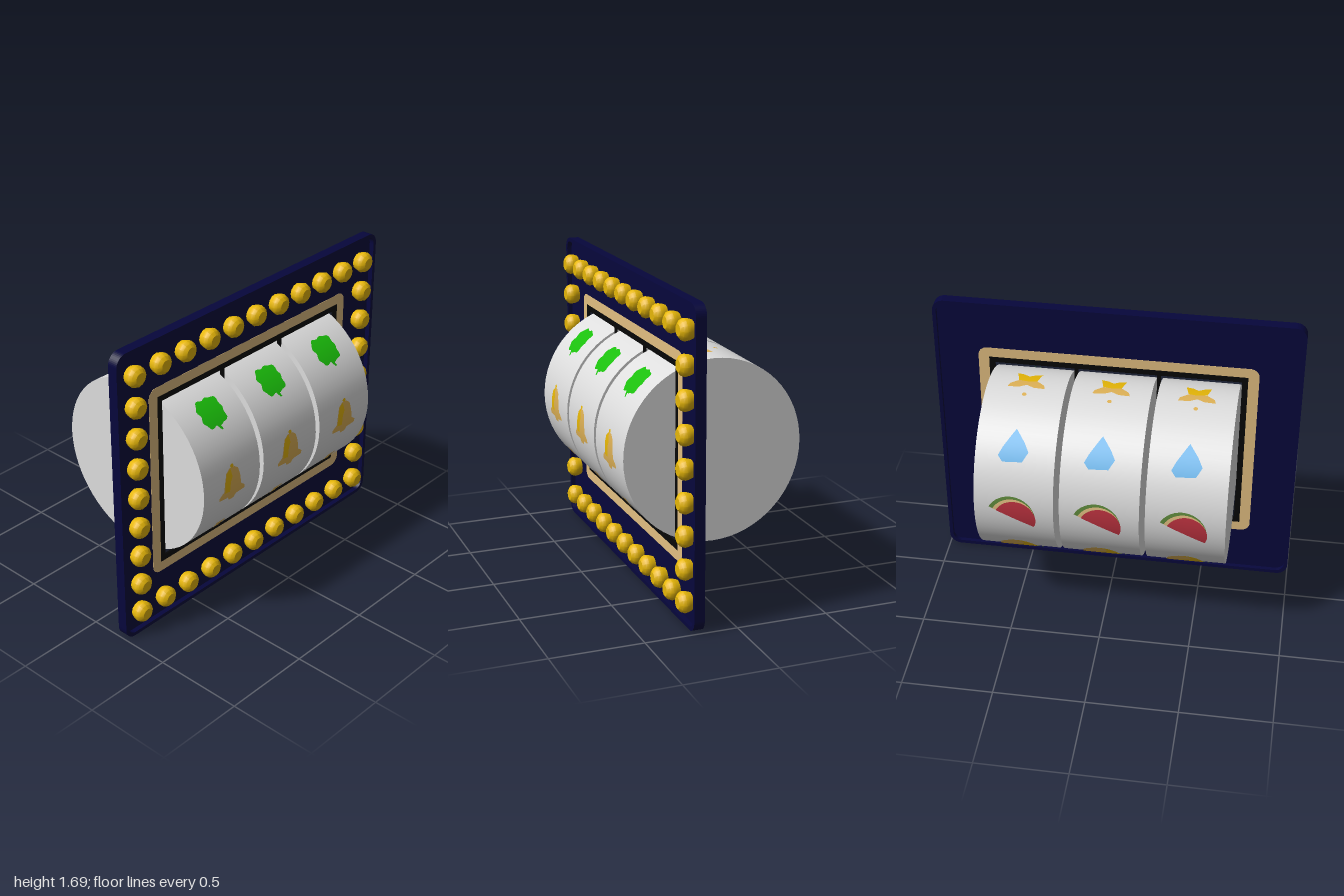
import * as THREE from 'three';
import { toCreasedNormals } from 'three/addons/utils/BufferGeometryUtils.js';

const mat = (name, color) => {
  const m = new THREE.MeshStandardMaterial({ color });
  m.name = name;
  return m;
};

const REEL_R = 0.488, REEL_W = 0.424, CY = 0.842;

// Rounded rectangle outline centred on (x, y)
function roundRect(Type, x, y, w, h, r) {
  const s = new Type(), a = w / 2 - r, b = h / 2 - r;
  s.absarc(x + a, y + b, r, 0, Math.PI / 2);
  s.absarc(x - a, y + b, r, Math.PI / 2, Math.PI);
  s.absarc(x - a, y - b, r, Math.PI, Math.PI * 1.5);
  s.absarc(x + a, y - b, r, Math.PI * 1.5, Math.PI * 2);
  s.closePath();
  return s;
}

function plate(name, material, outline, holes, z0, z1) {
  outline.holes.push(...holes);
  const geo = new THREE.ExtrudeGeometry(outline, { depth: z1 - z0, bevelEnabled: false, curveSegments: 6 });
  geo.translate(0, 0, z0);
  const mesh = new THREE.Mesh(geo, material);
  mesh.name = name;
  return mesh;
}

// Closed outline from a polar rule, arc by default a full turn
function polar(cu, cv, rule, from = 0, to = Math.PI * 2, n = 32) {
  const pts = [], full = to - from > 6.28;
  for (let i = 0; i < (full ? n : n + 1); i++) {
    const a = from + (to - from) * i / n, r = rule(a);
    pts.push([cu + r * Math.cos(a), cv + r * Math.sin(a)]);
  }
  return pts;
}

const ellipse = (u, v, ru, rv, tilt = 0) => polar(0, 0, () => 1, 0, Math.PI * 2, 20).map(([x, y]) => [
  u + x * ru * Math.cos(tilt) - y * rv * Math.sin(tilt),
  v + x * ru * Math.sin(tilt) + y * rv * Math.cos(tilt)]);

const mirrored = half => [...half, ...half.slice().reverse().map(([u, v]) => [-u, v])];

// Flat outline (u across, v around) wrapped onto the reel at a given angle
function wrap(outline, angle, lift) {
  const pts = outline.map(([u, v]) => new THREE.Vector2(u, v));
  if (THREE.ShapeUtils.isClockWise(pts)) pts.reverse();
  const pos = [], nor = [], R = REEL_R + lift;
  const put = p => {
    const t = angle + p.y / REEL_R, s = Math.sin(t), c = Math.cos(t);
    pos.push(p.x, R * s, R * c);
    nor.push(0, s, c);
  };
  // Split triangles until they are short enough to follow the curve
  const split = (a, b, c) => {
    const d = [Math.abs(a.y - b.y), Math.abs(b.y - c.y), Math.abs(c.y - a.y)];
    const m = Math.max(...d);
    if (m < 0.03) return [a, b, c].forEach(put);
    if (m === d[1]) [a, b, c] = [b, c, a];
    else if (m === d[2]) [a, b, c] = [c, a, b];
    const h = a.clone().add(b).multiplyScalar(0.5);
    split(a, h, c);
    split(h, b, c);
  };
  for (const [i, j, k] of THREE.ShapeUtils.triangulateShape(pts, [])) split(pts[i], pts[j], pts[k]);
  const geo = new THREE.BufferGeometry();
  geo.setAttribute('position', new THREE.Float32BufferAttribute(pos, 3));
  geo.setAttribute('normal', new THREE.Float32BufferAttribute(nor, 3));
  return geo;
}

export function createModel() {
  const navy = mat('navy panel', 0x06063c), tan = mat('tan trim', 0xe3c082);
  const black = mat('black frame', 0x060606), gold = mat('gold', 0xe8b808);
  const white = mat('reel grey', 0xdedede), green = mat('clover green', 0x1abf0a);
  const blue = mat('gem blue', 0x62b2e8), red = mat('fruit red', 0xbf3340);
  const olive = mat('leaf green', 0x5f8a3c), amber = mat('amber', 0xdfb256);
  const model = new THREE.Group();

  // Thin front panel inside a raised rim, tan trim and black window frame
  const rect = (T, w, h, r, x = 0) => roundRect(T, x, CY, w, h, r);
  model.add(
    plate('panelRim', navy, roundRect(THREE.Shape, 0, 0.845, 2, 1.69, 0.065),
      [roundRect(THREE.Path, 0, 0.845, 1.96, 1.65, 0.05)], 0.179, 0.236),
    plate('panel', navy, roundRect(THREE.Shape, 0, 0.845, 1.962, 1.652, 0.05),
      [rect(THREE.Path, 1.53, 1.115, 0.05)], 0.202, 0.209),
    plate('windowTrim', tan, rect(THREE.Shape, 1.53, 1.115, 0.05),
      [rect(THREE.Path, 1.412, 1.0, 0.002)], 0.201, 0.21),
    plate('windowFrame', black, rect(THREE.Shape, 1.412, 1.0, 0.002),
      [-0.455, 0, 0.455].map((x, i) => rect(THREE.Path, i === 1 ? 0.43 : 0.438, 0.936, 0.002, x)), 0.2, 0.211));

  // Bulbs around the border
  const bulbGeo = toCreasedNormals(new THREE.LatheGeometry(
    [[0.046, 0], [0.055, 0.026], [0.058, 0.045], [0.05, 0.063], [0.032, 0.077], [0, 0.077]]
      .map(p => new THREE.Vector2(...p)), 12).rotateX(Math.PI / 2), 0.6);
  const bulbs = new THREE.Group();
  bulbs.name = 'bulbs';
  for (let i = 0; i < 11; i++) for (let j = 0; j < 9; j++) {
    if (i % 10 && j % 8) continue;
    const bulb = new THREE.Mesh(bulbGeo, gold);
    bulb.name = 'bulb';
    bulb.position.set(-0.883 + i * 0.1766, 0.133 + j * 0.1766, 0.205);
    bulbs.add(bulb);
  }
  model.add(bulbs);

  // Symbols: name, step of 45 degrees, then coloured layers from bottom to top
  const cut = -0.46;
  const slice = (r, s) => polar(0.005 + s * Math.cos(cut), 0.042 + s * Math.sin(cut), () => r,
    Math.PI + cut, Math.PI * 2 + cut, 20);
  const symbols = [
    ['bell', 0,
      [amber, mirrored([[0.018, 0.09], [0.045, 0.07], [0.058, 0.02], [0.064, -0.03], [0.095, -0.055], [0.095, -0.075],
        [0.03, -0.08], [0.018, -0.1]])],
      [gold, [[-0.058, -0.04], [-0.054, 0.03], [-0.042, 0.07], [-0.012, 0.088], [-0.002, 0.04], [-0.016, 0.01], [-0.02, -0.045]]],
      [gold, ellipse(0, 0.1, 0.012, 0.01)]],
    ['clover', 1,
      [green, polar(0.005, 0.014, a => 0.085 - 0.008 * Math.cos(4 * a) + 0.005 * Math.cos(9 * a), 0, Math.PI * 2, 48)],
      [green, [[-0.012, -0.05], [0.012, -0.05], [0.024, -0.09], [0.012, -0.09]]]],
    ['star', 2,
      [amber, mirrored([[0, 0.02], [0.04, 0.04], [0.1, 0.043], [0.092, 0.015], [0.05, -0.018]])],
      [gold, mirrored([[0, -0.01], [0.05, -0.018], [0.068, -0.09], [0.03, -0.08], [0, -0.06]])],
      [amber, ellipse(0, 0.097, 0.012, 0.012)]],
    ['gem', 3,
      [blue, [[-0.07, 0.045], [-0.04, 0.098], [0.065, 0.103], [0.09, 0.07], [0.068, 0.025], [0.005, -0.076], [-0.045, -0.005]]]],
    ['melonSlice', 4, [olive, slice(0.13, 0.012)], [tan, slice(0.12, 0)], [red, slice(0.112, -0.012)]],
    ['lemon', 5,
      [olive, ellipse(-0.088, 0.05, 0.066, 0.048, 0.7)],
      [gold, ellipse(0.005, -0.01, 0.1, 0.108)],
      [amber, ellipse(0.035, -0.07, 0.068, 0.044, 0.4)]],
    ['cherries', 6,
      [red, ellipse(0.055, -0.045, 0.066, 0.066)],
      [red, ellipse(-0.04, -0.085, 0.066, 0.066)],
      [olive, ellipse(-0.03, 0.065, 0.055, 0.028, -0.3)]],
    ['moneyBag', 7,
      [amber, mirrored([[0.034, 0.1], [0.028, 0.06], [0.02, 0.035], [0.045, 0.005], [0.07, -0.045], [0.065, -0.085], [0.04, -0.1]])]],
  ];
  const decals = symbols.flatMap(([name, step, ...layers]) => layers.map(([material, outline], i) => ({
    name, material, geo: wrap(outline, step * Math.PI / 4, 0.0025 + i * 0.0015) })));

  // Three reels with their wrapped symbols
  const drumGeo = new THREE.CylinderGeometry(REEL_R, REEL_R, REEL_W, 64).rotateZ(Math.PI / 2);
  [-0.455, 0, 0.455].forEach(x => {
    const reel = new THREE.Group();
    reel.name = 'reel';
    reel.position.set(x, CY, 0);
    const drum = new THREE.Mesh(drumGeo, white);
    drum.name = 'drum';
    reel.add(drum);
    for (const { name, material, geo } of decals) {
      const mesh = new THREE.Mesh(geo, material);
      mesh.name = name;
      reel.add(mesh);
    }
    model.add(reel);
  });
  return model;
}
